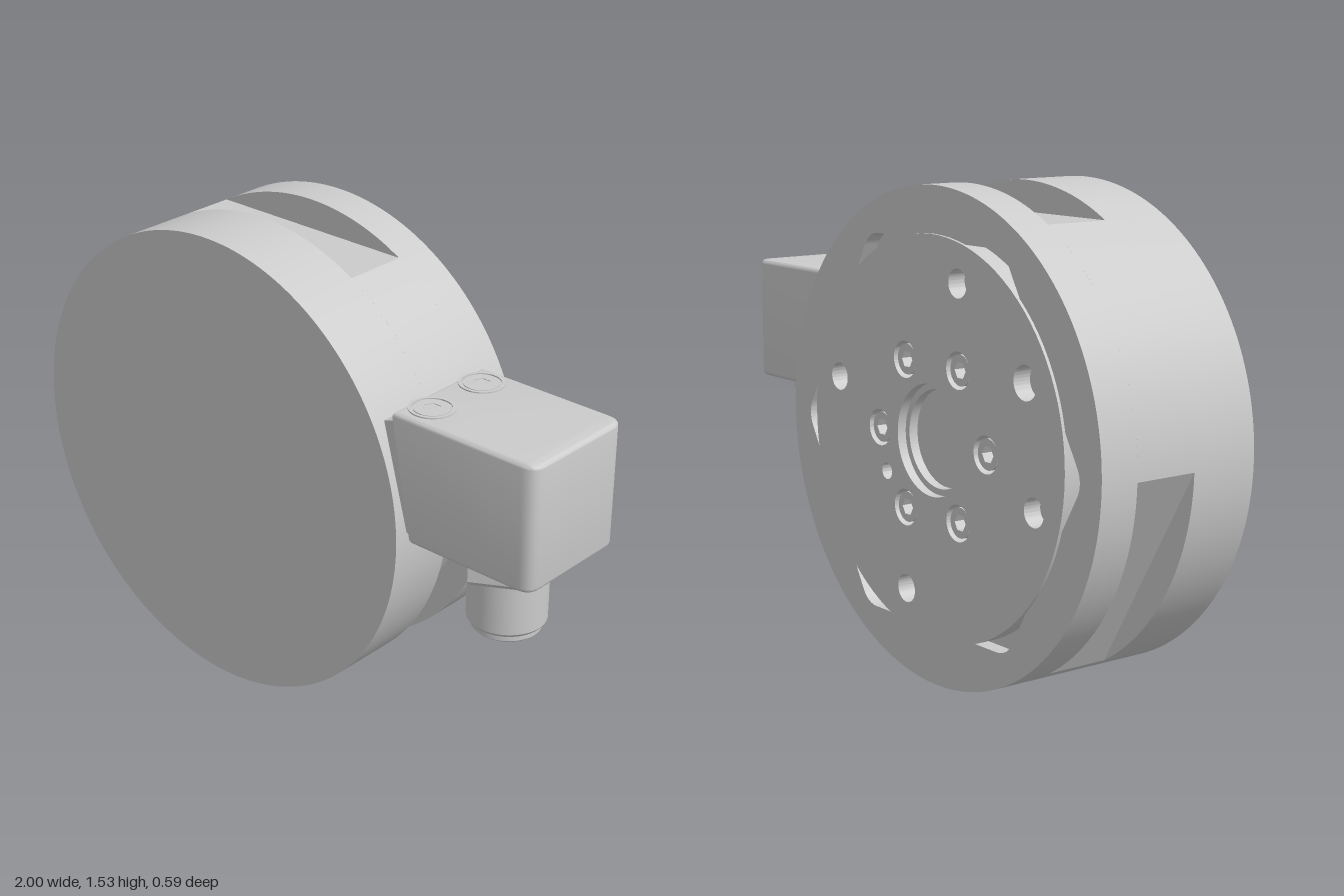
import * as THREE from 'three';
import { toCreasedNormals } from 'three/addons/utils/BufferGeometryUtils.js';

const CX = -0.24, CY = 0.765, R = 0.763;
const NOTCHES = [90, 210, 330].map(THREE.MathUtils.degToRad);
const mat = new THREE.MeshStandardMaterial({ color: 0xcccccc });
const openMat = new THREE.MeshStandardMaterial({ color: 0xcccccc, side: THREE.DoubleSide });

function add(parent, name, geo, x = 0, y = 0, z = 0, material = mat) {
  const m = new THREE.Mesh(geo, material);
  m.name = name;
  m.position.set(x, y, z);
  parent.add(m);
  return m;
}

function extrude(shape, depth, opts = {}) {
  const g = new THREE.ExtrudeGeometry(shape, { depth, bevelEnabled: false, curveSegments: 96, ...opts });
  return toCreasedNormals(g, 0.5);
}

const polar = (r, a) => new THREE.Vector2(r * Math.cos(a), r * Math.sin(a));
const disc = (r) => new THREE.Shape().absarc(0, 0, r, 0, Math.PI * 2);
const hole = (r, x = 0, y = 0) => new THREE.Path().absarc(x, y, r, 0, Math.PI * 2, true);

// Closed polygon with softened corners
function rounded(path, pts, r) {
  pts.forEach((p, i) => {
    const prev = pts[(i + pts.length - 1) % pts.length], next = pts[(i + 1) % pts.length];
    const a = p.clone().add(prev.clone().sub(p).setLength(r));
    const b = p.clone().add(next.clone().sub(p).setLength(r));
    if (i) path.lineTo(a.x, a.y); else path.moveTo(a.x, a.y);
    path.quadraticCurveTo(p.x, p.y, b.x, b.y);
  });
  path.closePath();
  return path;
}

// Socket-head screw facing +z, its top at z = 0
function screw(name, r, socket, depth) {
  const g = new THREE.Group();
  g.name = name;
  const head = disc(r);
  head.holes.push(new THREE.Path([0, 1, 2, 3, 4, 5, 0].map((i) => polar(socket, -i * Math.PI / 3))));
  add(g, 'screwHead', extrude(head, depth, { curveSegments: 24 }), 0, 0, -depth);
  add(g, 'socketFloor', new THREE.CircleGeometry(socket * 1.1, 6), 0, 0, -depth * 0.8);
  return g;
}

function createHousing() {
  const g = new THREE.Group();
  g.name = 'housing';
  g.position.set(CX, CY, 0);

  add(g, 'frontDisc', extrude(disc(R), 0.235), 0, 0, 0.06);

  // Middle band with three flat-bottomed rim notches
  const half = Math.acos(0.667 / R);
  const band = new THREE.Shape();
  NOTCHES.forEach((a) => band.absarc(0, 0, R, a + half, a + Math.PI * 2 / 3 - half));
  band.closePath();
  add(g, 'notchedBand', extrude(band, 0.215, { curveSegments: 32 }), 0, 0, -0.155);

  add(g, 'rearDisc', extrude(disc(R), 0.08), 0, 0, -0.235);

  // Rear rim with a recess that shows as pockets beside the plate
  const rim = disc(R);
  const corners = NOTCHES.flatMap((a) => [-0.33, 0.33].map((w) =>
    new THREE.Vector2(0.6, w).rotateAround(new THREE.Vector2(), a)));
  rim.holes.push(rounded(new THREE.Path(), corners, 0.05));
  add(g, 'rearRim', extrude(rim, 0.05), 0, 0, -0.285);

  // Mounting plate with its bores
  const plate = disc(0.62);
  plate.holes.push(hole(0.172));
  const bore = (r, radius, deg) => {
    const p = polar(radius, THREE.MathUtils.degToRad(deg));
    plate.holes.push(hole(r, p.x, p.y));
    return p;
  };
  [15, 105, 195, 285].forEach((d) => bore(0.044, 0.503, d));
  bore(0.052, 0.503, 152);
  bore(0.026, 0.265, -30);
  for (let i = 0; i < 6; i++) {
    const p = bore(0.057, 0.265, i * 60);
    const s = screw('plateScrew', 0.047, 0.027, 0.045);
    s.rotation.y = Math.PI;
    s.position.set(p.x, p.y, -0.287);
    g.add(s);
  }
  add(g, 'mountingPlate', extrude(plate, 0.06, { curveSegments: 48 }), 0, 0, -0.295);

  const step = disc(0.174);
  step.holes.push(hole(0.152));
  add(g, 'centreStep', extrude(step, 0.03, { curveSegments: 32 }), 0, 0, -0.265);
  return g;
}

function createConnector() {
  const g = new THREE.Group();
  g.name = 'connector';

  // Block: rounded plan raised upwards, inner end slanted along the housing
  const V = (x, z) => new THREE.Vector2(x, -z);
  const plan = new THREE.Shape();
  plan.moveTo(0.485, -0.28);
  plan.lineTo(0.95, -0.28);
  plan.quadraticCurveTo(1, -0.28, 1, -0.23);
  plan.lineTo(1, 0.08);
  plan.quadraticCurveTo(1, 0.13, 0.95, 0.13);
  plan.lineTo(0.485, 0.13);
  plan.closePath();
  const block = new THREE.ExtrudeGeometry(plan, {
    depth: 0.375, bevelSize: 0.015, bevelThickness: 0.015, bevelOffset: -0.015, bevelSegments: 4, curveSegments: 8,
  });
  block.rotateX(-Math.PI / 2).translate(0, 0.8, 0);
  const p = block.attributes.position;
  for (let i = 0; i < p.count; i++) {
    if (p.getX(i) < 0.55) p.setX(i, p.getX(i) + (1.19 - p.getY(i)) * 0.19);
  }
  add(g, 'connectorBlock', toCreasedNormals(block, 0.6));

  // Slanted seat against the rim
  const seat = new THREE.Shape([[0.453, 1.15], [0.545, 0.815], [0.6, 0.815], [0.51, 1.168]]
    .map(([x, y]) => new THREE.Vector2(x, y)));
  add(g, 'slantedSeat', extrude(seat, 0.4), 0, 0, -0.125);

  // Screws on top, each in a thin collar
  for (const z of [-0.04, 0.185]) {
    const s = screw('blockScrew', 0.055, 0.028, 0.03);
    s.rotation.x = -Math.PI / 2;
    s.position.set(0.555, 1.193, z);
    // Shallow cap keeps the socket floor above the block surface
    s.children[1].position.z = -0.002;
    g.add(s);
    const collar = disc(0.07);
    collar.holes.push(hole(0.06));
    const c = add(g, 'screwCollar', extrude(collar, 0.02, { curveSegments: 24 }), 0.555, 1.174, z);
    c.rotation.x = -Math.PI / 2;
  }

  // Hexagonal nut with a chamfered lower edge
  const X = 0.773, Z = 0.077;
  const nut = (name, top, bottom, h, y) =>
    add(g, name, new THREE.CylinderGeometry(top, bottom, h, 6).toNonIndexed(), X, y, Z).geometry.computeVertexNormals();
  nut('hexNut', 0.195, 0.195, 0.05, 0.765);
  nut('nutChamfer', 0.195, 0.178, 0.017, 0.7315);

  // Hollow plug barrel
  const profile = [[0.122, 0.74], [0.122, 0.545], [0.115, 0.535], [0.107, 0.533], [0.107, 0.515],
    [0.102, 0.51], [0.088, 0.51], [0.088, 0.63], [0, 0.63]].map(([r, y]) => new THREE.Vector2(r, y));
  // Listed upwards so faces point outwards
  const barrel = new THREE.LatheGeometry(profile.reverse(), 48);
  add(g, 'plugBarrel', toCreasedNormals(barrel, 0.5), X, 0, Z, openMat);
  for (let i = 0; i < 4; i++) {
    const q = polar(0.045, Math.PI / 4 + i * Math.PI / 2);
    add(g, 'contactPin', new THREE.CylinderGeometry(0.01, 0.01, 0.09, 12), X + q.x, 0.585, Z + q.y);
  }
  return g;
}

export function createModel() {
  const model = new THREE.Group();
  model.name = 'flangeSensor';
  model.add(createHousing(), createConnector());
  return model;
}
